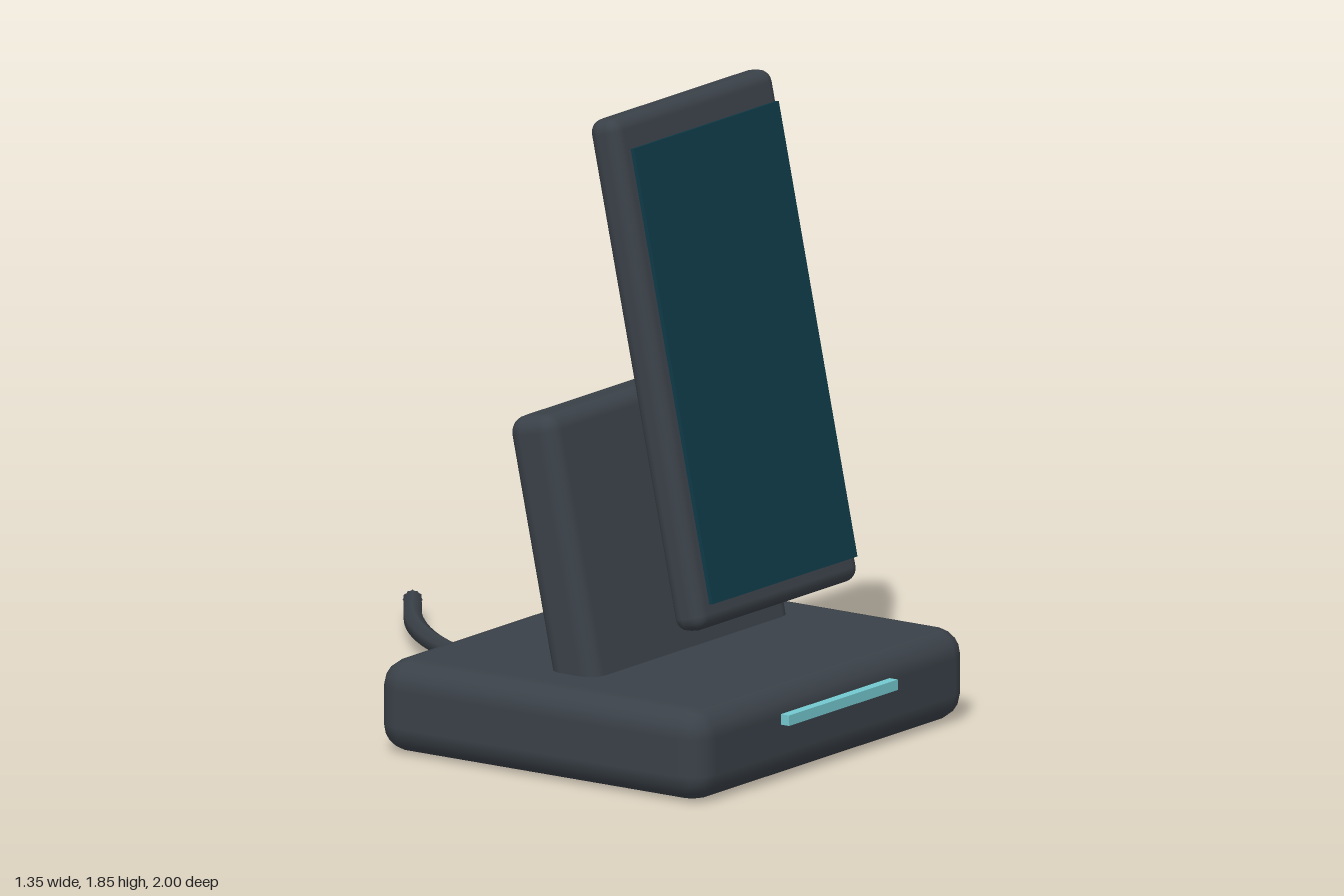
import * as THREE from 'three';
import { RoundedBoxGeometry } from 'three/addons/geometries/RoundedBoxGeometry.js';

const CX = -0.033; // the stand's own middle; the cable widens the model to one side
const TILT = -0.21;

const body = new THREE.MeshStandardMaterial({ color: 0x3a4148, side: THREE.DoubleSide });
body.name = 'charcoal';
const glass = new THREE.MeshStandardMaterial({ color: 0x0f3a48 });
glass.name = 'dark teal glass';
const light = new THREE.MeshStandardMaterial({ color: 0x73c9cf });
light.name = 'aqua light';

function part(name, geometry, material, x = 0, y = 0, z = 0) {
  const mesh = new THREE.Mesh(geometry, material);
  mesh.name = name;
  mesh.position.set(x, y, z);
  return mesh;
}

// Rounded slab; the coarse rounding pulls the faces in a little, so widen it to suit
function slab(w, h, d, r) {
  const grow = 0.076 * r;
  return new RoundedBoxGeometry(w + grow, h + grow, d + grow, 2, r);
}

export function createModel() {
  const model = new THREE.Group();
  model.name = 'chargingStand';

  // Base block with status light on its front edge
  model.add(part('base', slab(1.295, 0.26, 1.12, 0.08), body, CX, 0.13, 0.41));
  model.add(part('statusLight', new THREE.BoxGeometry(0.52, 0.03, 0.05), light, CX, 0.174, 0.975));

  // Leaning back rest, sunk into the base
  const backRest = part('backRest', slab(0.945, 0.9, 0.16, 0.05), body, CX, 0.54, 0.342);
  backRest.rotation.x = TILT;
  model.add(backRest);

  // Phone with a thin screen floating just ahead of it
  const phone = new THREE.Group();
  phone.name = 'phone';
  phone.position.set(CX, 1.129, 0.588);
  phone.rotation.x = TILT;
  phone.add(part('phoneBody', slab(0.77, 1.46, 0.1, 0.04), body));
  phone.add(part('screen', new THREE.BoxGeometry(0.692, 1.3, 0.012), glass, 0, -0.012, 0.069));
  model.add(phone);

  // Cable curving away behind the base
  const path = new THREE.CatmullRomCurve3([
    [-0.04, 0.1, -0.1], [-0.02, 0.095, -0.153], [0.11, 0.076, -0.41],
    [0.262, 0.062, -0.635], [0.43, 0.054, -0.81], [0.653, 0.05, -0.976],
  ].map((p) => new THREE.Vector3(...p)));
  model.add(part('cable', new THREE.TubeGeometry(path, 24, 0.029, 6), body));
  const cap = part('cableEnd', new THREE.CircleGeometry(0.028, 6), body);
  cap.position.copy(path.getPoint(1));
  cap.lookAt(path.getPoint(1).add(path.getTangent(1)));
  model.add(cap);

  return model;
}
